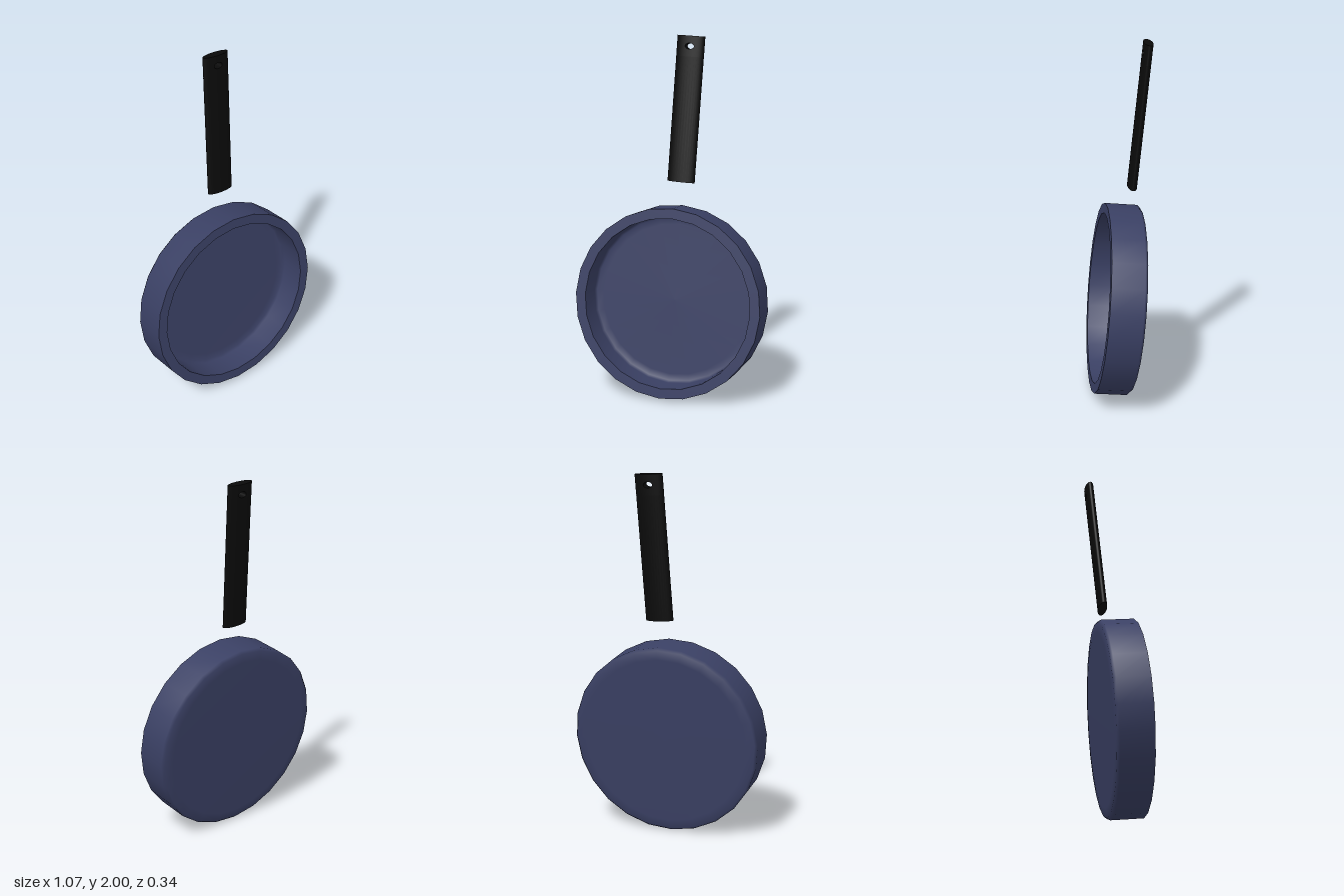
import * as THREE from 'three';
import { ParametricGeometry } from 'three/addons/geometries/ParametricGeometry.js';

const blue = new THREE.MeshStandardMaterial({ color: 0x3a4064, side: THREE.DoubleSide });
blue.name = 'navy enamel';
const black = new THREE.MeshStandardMaterial({ color: 0x0a0a0a, side: THREE.DoubleSide });
black.name = 'black grip';

function add(parent, name, geometry, material) {
  const mesh = new THREE.Mesh(geometry, material);
  mesh.name = name;
  parent.add(mesh);
  return mesh;
}

// Turned surface about z, from [radius, z] points
function turned(points) {
  return new THREE.LatheGeometry(points.map(([r, z]) => new THREE.Vector2(r, z)), 24).rotateX(Math.PI / 2);
}

function makePan() {
  const pan = new THREE.Group();
  pan.name = 'pan';
  const R = 0.533, r = 0.477, rim = 0.117, back = -0.082, floor = -0.04;
  add(pan, 'outerWallAndBase', turned([
    [0, back], [0.47, back], [0.52, back + 0.005], [R, back + 0.02], [R, rim],
  ]), blue);
  add(pan, 'rim', turned([[R, rim], [r, rim]]), blue);
  add(pan, 'innerWallAndFloor', turned([
    [r, rim], [r, floor + 0.015], [r - 0.012, floor + 0.003], [r - 0.05, floor], [0, floor],
  ]), blue);
  return pan;
}

function makeHandle() {
  const handle = new THREE.Group();
  handle.name = 'handle';
  const a = 0.0785, b = 0.0255; // half width and half depth of the oval section
  const bottom = 0.67, top = 1.466, holeY = 1.41, half = top - holeY;
  const joint = holeY - half;

  // Plain oval grip below the hanging hole
  const grip = new THREE.CylinderGeometry(1, 1, joint - bottom, 32, 1, true);
  grip.scale(a, 1, b).translate(0, (joint + bottom) / 2, 0);
  add(handle, 'grip', grip, black);

  // Oval end caps
  for (const [name, y, turn] of [['topCap', top, -1], ['bottomCap', bottom, 1]]) {
    const cap = new THREE.CircleGeometry(1, 32).rotateX(turn * Math.PI / 2);
    add(handle, name, cap.scale(a, 1, b).translate(0, y, 0), black);
  }

  // Point on the oval around the hole: t = 0 at the hole, 1 at the section's border
  const around = (u, t, side, target) => {
    const c = Math.cos(u * 2 * Math.PI), s = Math.sin(u * 2 * Math.PI);
    const m = Math.max(Math.abs(c), Math.abs(s));
    const phi = Math.PI / 2 - THREE.MathUtils.lerp(0.325 * c, (Math.PI / 2) * c / m, t);
    const y = holeY + THREE.MathUtils.lerp(0.016 * s, half * s / m, t);
    return target.set(a * Math.cos(phi), y, side * b * Math.sin(phi));
  };
  for (const side of [1, -1]) {
    add(handle, side > 0 ? 'hangingEndFront' : 'hangingEndBack', new ParametricGeometry(
      (u, v, p) => around(u, side > 0 ? 1 - v : v, side, p), 64, 8), black);
  }
  add(handle, 'hangingHoleWall', new ParametricGeometry((u, v, p) => {
    around(u, 0, 1, p);
    p.z *= 1 - 2 * v;
  }, 64, 1), black);
  return handle;
}

export function createModel() {
  const model = new THREE.Group();
  model.name = 'fryingPan';

  // Whole pan leans back with a slight roll and yaw
  const up = new THREE.Vector3(0.043, 1, -0.1).normalize();
  const across = new THREE.Vector3().crossVectors(up, new THREE.Vector3(-0.025, 0.1, 1)).normalize();
  const facing = new THREE.Vector3().crossVectors(across, up);
  const tilted = new THREE.Group();
  tilted.name = 'tiltedPan';
  tilted.quaternion.setFromRotationMatrix(new THREE.Matrix4().makeBasis(across, up, facing));
  tilted.position.set(0, 0.538, 0);
  tilted.add(makePan(), makeHandle());
  model.add(tilted);
  return model;
}
